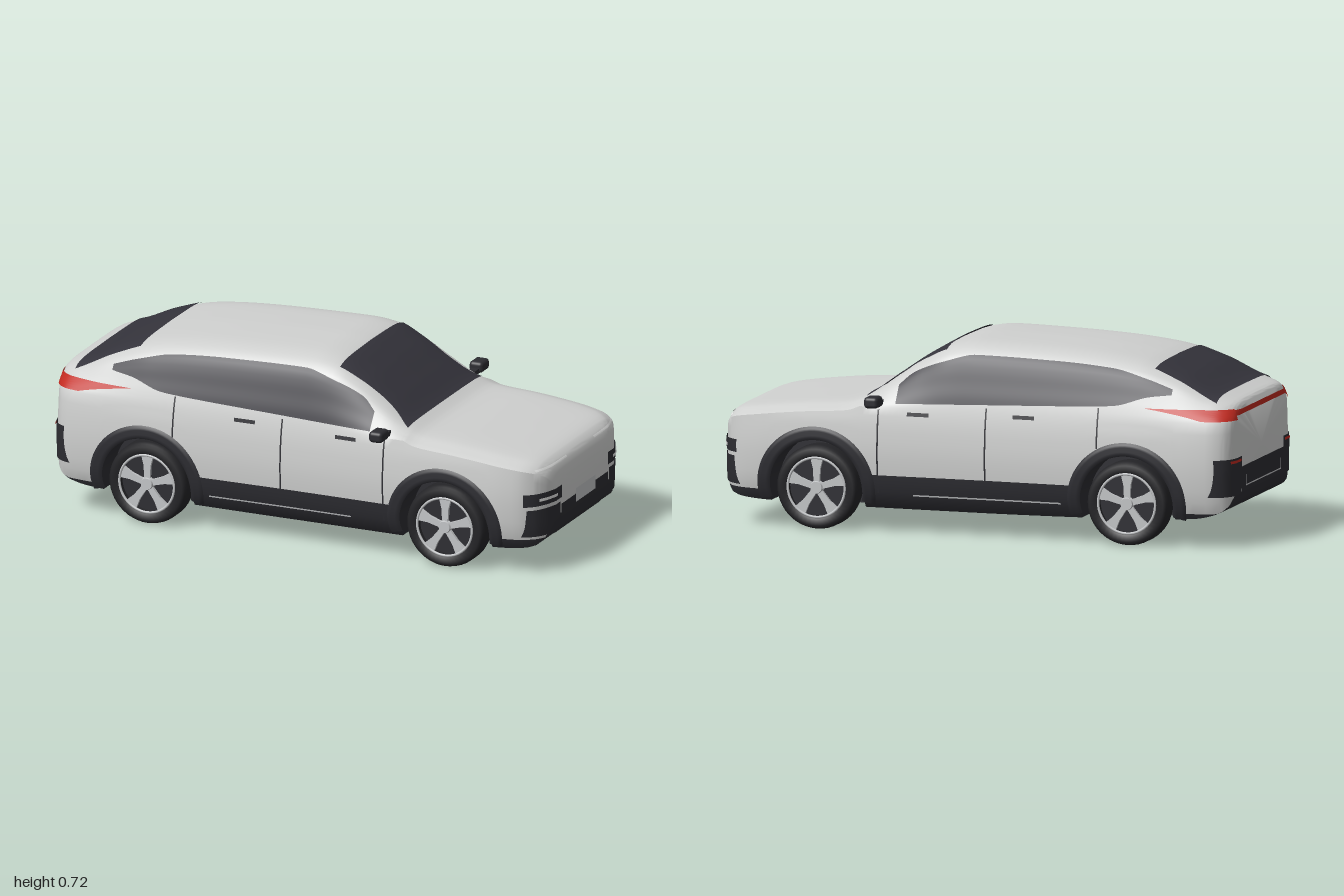
import * as THREE from 'three';
import { toCreasedNormals } from 'three/addons/utils/BufferGeometryUtils.js';
import { RoundedBoxGeometry } from 'three/addons/geometries/RoundedBoxGeometry.js';

const material = (name, color) => new THREE.MeshStandardMaterial({ name, color, side: THREE.DoubleSide });

// Smooth monotone curve through [position, value] pairs
function curve(p) {
  const d = p.slice(1).map((b, i) => (b[1] - p[i][1]) / (b[0] - p[i][0]));
  const m = p.map((_, i) => i === 0 ? d[0] : i === d.length ? d[i - 1]
    : d[i - 1] * d[i] <= 0 ? 0 : 2 * d[i - 1] * d[i] / (d[i - 1] + d[i]));
  return x => {
    if (x <= p[0][0]) return p[0][1];
    let i = 0;
    while (i < d.length && x > p[i + 1][0]) i++;
    if (i >= d.length) return p[d.length][1];
    const h = p[i + 1][0] - p[i][0], t = (x - p[i][0]) / h, t2 = t * t, t3 = t2 * t;
    return (2 * t3 - 3 * t2 + 1) * p[i][1] + (t3 - 2 * t2 + t) * h * m[i]
      + (3 * t2 - 2 * t3) * p[i + 1][1] + (t3 - t2) * h * m[i + 1];
  };
}

// Body lines: roof, floor, plan width, side section and cabin section
const END = 0.995, AXLES = [-0.6, 0.608], AXLE_Y = 0.157, ARCH = 0.182;
const top = curve([[-END, 0.525], [-0.985, 0.538], [-0.95, 0.551], [-0.9, 0.567], [-0.77, 0.628], [-0.61, 0.678],
  [-0.42, 0.7], [-0.2, 0.711], [0.03, 0.716], [0.115, 0.705], [0.22, 0.653], [0.33, 0.577], [0.435, 0.503],
  [0.49, 0.483], [0.65, 0.471], [0.86, 0.447], [0.94, 0.432], [0.975, 0.408], [0.99, 0.375], [END, 0.345]]);
const floor = curve([[-END, 0.2], [-0.98, 0.16], [-0.94, 0.13], [-0.85, 0.11], [-0.5, 0.095], [0, 0.088],
  [0.5, 0.09], [0.85, 0.1], [0.94, 0.11], [0.975, 0.14], [0.99, 0.19], [END, 0.21]]);
const plan = curve([[-END, 0.74], [-0.985, 0.82], [-0.96, 0.9], [-0.92, 0.95], [-0.8, 0.985], [-0.6, 1], [0, 0.985],
  [0.6, 1], [0.8, 0.985], [0.9, 0.94], [0.95, 0.86], [0.98, 0.74], [END, 0.62]]);
const flank = curve([[0.085, 0.355], [0.1, 0.372], [0.14, 0.392], [0.2, 0.405], [0.3, 0.411], [0.4, 0.405], [0.47, 0.393]]);
const cabin = curve([[0, 1], [0.2, 0.965], [0.4, 0.92], [0.62, 0.87], [0.78, 0.82], [0.9, 0.73], [0.96, 0.6], [0.985, 0.42], [1, 0]]);
const belt = x => Math.min(0.47, top(x) - 0.03);

function halfWidth(x, y) {
  const b = belt(x);
  return plan(x) * (y <= b ? flank(y) : flank(b) * cabin((y - b) / (top(x) - b)));
}
const inside = (x, y, z) => y >= floor(x) && y <= top(x) && halfWidth(x, y) >= Math.abs(z);

// Last value between lo (inside) and hi (outside) that is still inside
function bisect(lo, hi, test) {
  for (let i = 0; i < 24; i++) {
    const mid = (lo + hi) / 2;
    if (test(mid)) lo = mid; else hi = mid;
  }
  return lo;
}
const roofY = (x, z) => bisect(0.3, top(x), y => inside(x, y, z));
const endX = (s, y, z) => s * bisect(0.6, END, x => inside(s * x, y, z));
const sideZ = (x, y) => halfWidth(x, Math.min(Math.max(y, floor(x)), top(x)));

// Grid surface from f(u, v) -> [x, y, z]
function patch(nu, nv, f) {
  const pos = [], idx = [], w = nv + 1;
  for (let i = 0; i <= nu; i++) for (let j = 0; j <= nv; j++) pos.push(...f(i / nu, j / nv));
  for (let i = 0; i < nu; i++) for (let j = 0; j < nv; j++) {
    const a = i * w + j, b = a + w;
    idx.push(a, b, b + 1, a, b + 1, a + 1);
  }
  const g = new THREE.BufferGeometry();
  g.setAttribute('position', new THREE.Float32BufferAttribute(pos, 3));
  g.setIndex(idx);
  g.computeVertexNormals();
  return g;
}

// Lofted shell with open wheel wells
function bodyShell() {
  const xs = [];
  for (let i = 0; i <= 80; i++) xs.push(-0.95 + 1.9 * i / 80);
  for (let i = 0; i < 12; i++) xs.push(-END + 0.045 * (i / 12) ** 1.5, END - 0.045 * (i / 12) ** 1.5);
  for (const c of AXLES) {
    for (let i = 0; i <= 24; i++) xs.push(c - ARCH * Math.cos(Math.PI * i / 24));
    xs.push(c - ARCH - 0.001, c + ARCH + 0.001);
  }
  xs.sort((a, b) => a - b);
  const us = [0.1, 0.2, 0.3, 0.4, 0.5, 0.62, 0.7, 0.78, 0.84, 0.9, 0.93, 0.96, 0.975, 0.985, 0.992, 0.997, 1];
  const pos = [], paint = [], trim = [];
  let n = 0;
  for (const x of xs) {
    const B = floor(x), b = belt(x);
    const c = AXLES.find(a => Math.abs(x - a) <= ARCH + 1e-6);
    const low = c === undefined ? B : AXLE_Y + Math.sqrt(Math.max(0, ARCH ** 2 - (x - c) ** 2));
    const sill = Math.max(low, x < AXLES[0] ? 0.13 : x < AXLES[1] ? 0.217 : 0.14);
    const zi = Math.min(0.27, 0.8 * halfWidth(x, B));
    const half = [[B, 0], [B, zi], [low, zi]];
    for (let i = 0; i <= 4; i++) half.push(low + (sill - low) * i / 4);
    for (let i = 1; i <= 8; i++) half.push(sill + (b - sill) * i / 8);
    for (const u of us) half.push(b + (top(x) - b) * u);
    const pts = half.map(p => Array.isArray(p) ? p : [p, halfWidth(x, p)]);
    const ring = [...pts, ...pts.slice(1, -1).reverse().map(([y, z]) => [y, -z])];
    n = ring.length;
    for (const [y, z] of ring) pos.push(x, y, z);
  }
  const last = xs.length - 1;
  for (let k = 0; k < n; k++) {
    const k1 = (k + 1) % n, list = Math.min(k, n - 1 - k) < 7 ? trim : paint;
    for (let i = 0; i < last; i++) {
      const a = i * n + k, b = a + n, d = i * n + k1, c = d + n;
      list.push(a, b, c, a, c, d);
    }
    paint.push(xs.length * n, k, k1, xs.length * n + 1, last * n + k1, last * n + k);
  }
  pos.push(-END, 0.35, 0, END, 0.28, 0);
  const g = new THREE.BufferGeometry();
  g.setAttribute('position', new THREE.Float32BufferAttribute(pos, 3));
  g.setIndex([...paint, ...trim]);
  g.addGroup(0, paint.length, 0);
  g.addGroup(paint.length, trim.length, 1);
  return toCreasedNormals(g, 0.7);
}

export function createModel() {
  const car = new THREE.Group();
  car.name = 'car';
  const paint = material('silver paint', 0xd0d1d0), glass = material('dark glass', 0x35343c);
  const trim = material('black trim', 0x2d2d32), rubber = material('tyre rubber', 0x242427);
  const alloy = material('alloy', 0xc4c6c8), red = material('red lamp', 0xc22a20), lamp = material('white lamp', 0xe2e3e2);
  const add = (parent, name, geo, mat) => {
    const m = new THREE.Mesh(geo, mat);
    m.name = name;
    parent.add(m);
    return m;
  };
  // Plates that follow the sides, the ends and the top of the body
  const sidePlate = (name, mat, x0, x1, lo, hi, nx = 2, ny = 8, off = 0.004) => {
    for (const s of [1, -1]) add(car, name, patch(nx, ny, (u, v) => {
      const x = x0 + (x1 - x0) * u, a = lo(x), y = a + (hi(x) - a) * v;
      return [x, y, s * (sideZ(x, y) + off)];
    }), mat);
  };
  const endPlate = (name, mat, s, z0, z1, y0, y1, off = 0.004, sides = [1, -1]) => {
    for (const m of sides) add(car, name, patch(24, 6, (u, v) => {
      const z = z0 + (z1 - z0) * u, y = y0 + (y1 - y0) * v;
      return [endX(s, y, z) + s * off, y, m * z * (1 + off * 2.5)];
    }), mat);
  };
  const topPlate = (name, mat, x0, x1, half) => add(car, name, patch(24, 32, (u, v) => {
    const x = x0 + (x1 - x0) * u, z = half(x) * (2 * v - 1);
    return [x, roofY(x, z) + 0.005, z];
  }), mat);
  const flat = y => () => y;

  add(car, 'body', bodyShell(), [paint, trim]);

  // Windows
  topPlate('windscreen', glass, 0.135, 0.432, curve([[0.135, 0.282], [0.3, 0.276], [0.36, 0.287], [0.432, 0.33]]));
  topPlate('rearWindow', glass, -0.925, -0.675, curve([[-0.925, 0.315], [-0.675, 0.28]]));
  sidePlate('sideWindow', glass, -0.76, 0.302,
    curve([[-0.76, 0.565], [-0.675, 0.555], [-0.55, 0.52], [-0.47, 0.514], [-0.125, 0.5], [0.302, 0.485]]),
    curve([[-0.76, 0.585], [-0.66, 0.618], [-0.525, 0.65], [-0.31, 0.665], [0.01, 0.672], [0.125, 0.645], [0.25, 0.596], [0.302, 0.55]]),
    60, 12);

  // Door seams, handles and sill strip
  for (const [x, lo, hi] of [[-0.488, 0.36, 0.51], [-0.052, 0.215, 0.485], [0.365, 0.15, 0.48]])
    sidePlate('doorSeam', trim, x - 0.003, x + 0.003, flat(lo), flat(hi), 1, 10, 0.003);
  for (const [x, y] of [[-0.2, 0.46], [0.21, 0.45]])
    sidePlate('doorHandle', trim, x - 0.042, x + 0.042, flat(y - 0.007), flat(y + 0.007), 8, 2, 0.009);
  sidePlate('sillStrip', alloy, -0.345, 0.23, flat(0.143), flat(0.149), 30, 1);

  // Wheel arch cladding
  for (const c of AXLES) for (const s of [1, -1]) add(car, 'archCladding', patch(40, 6, (u, v) => {
    const a = -0.24 + (Math.PI + 0.48) * u, r = ARCH - 0.002 + 0.05 * v;
    const x = c + r * Math.cos(a), y = AXLE_Y + r * Math.sin(a);
    return [x, y, s * (sideZ(x, y) + (v === 0 || v === 1 ? 0 : 0.006))];
  }), trim);

  // Nose
  endPlate('headlampPanel', trim, 1, 0.203, 0.378, 0.272, 0.32);
  endPlate('headlamp', lamp, 1, 0.24, 0.336, 0.29, 0.301, 0.007);
  endPlate('sideIntake', trim, 1, 0.214, 0.37, 0.152, 0.258);
  endPlate('grille', trim, 1, 0, 0.205, 0.125, 0.246);
  endPlate('frontNumberPlate', alloy, 1, 0, 0.085, 0.217, 0.27, 0.008);
  endPlate('daylightStrip', lamp, 1, 0.12, 0.335, 0.401, 0.408, 0.003);

  // Tail
  endPlate('tailLightBar', red, -1, 0, 0.285, 0.492, 0.512);
  endPlate('tailLamp', red, -1, 0.285, 0.376, 0.476, 0.516);
  endPlate('rearCorner', trim, -1, 0.24, 0.386, 0.195, 0.335);
  endPlate('rearBumper', trim, -1, 0, 0.24, 0.2, 0.295);
  endPlate('rearReflector', red, -1, 0.25, 0.34, 0.318, 0.328, 0.007);
  endPlate('rearTrimLine', alloy, -1, 0, 0.2, 0.218, 0.223, 0.007);
  endPlate('rearTrimLine', alloy, -1, 0.196, 0.201, 0.22, 0.26, 0.007);

  // Door mirrors
  for (const s of [1, -1]) {
    add(car, 'mirror', new RoundedBoxGeometry(0.055, 0.042, 0.072, 4, 0.014), trim).position.set(0.367, 0.498, s * 0.449);
    add(car, 'mirrorArm', new THREE.BoxGeometry(0.03, 0.018, 0.06), trim).position.set(0.367, 0.487, s * 0.4);
  }

  // Wheels
  const tyreGeo = new THREE.LatheGeometry([[0.106, -0.035], [0.113, -0.05], [0.143, -0.05], [0.153, -0.042], [0.157, -0.026],
    [0.157, 0.026], [0.153, 0.042], [0.143, 0.05], [0.117, 0.05], [0.11, 0.035], [0.108, 0]].map(p => new THREE.Vector2(...p)), 48).rotateX(Math.PI / 2);
  const discGeo = new THREE.CylinderGeometry(0.111, 0.111, 0.045, 40).rotateX(Math.PI / 2);
  const hubGeo = new THREE.CylinderGeometry(0.022, 0.027, 0.018, 24).rotateX(Math.PI / 2);
  const spokeShape = new THREE.Shape([[-0.011, 0.015], [0.011, 0.015], [0.014, 0.07], [0.024, 0.11], [-0.024, 0.11], [-0.014, 0.07]]
    .map(p => new THREE.Vector2(...p)));
  const spokeGeo = new THREE.ExtrudeGeometry(spokeShape, { depth: 0.012, bevelEnabled: false });
  for (const x of AXLES) for (const s of [1, -1]) {
    const wheel = new THREE.Group();
    wheel.name = 'wheel';
    wheel.position.set(x, AXLE_Y, s * 0.345);
    if (s < 0) wheel.rotation.y = Math.PI;
    add(wheel, 'tyre', tyreGeo, rubber);
    add(wheel, 'rimBack', discGeo, trim);
    add(wheel, 'rimEdge', new THREE.TorusGeometry(0.111, 0.005, 8, 48), alloy).position.z = 0.046;
    add(wheel, 'hub', hubGeo, alloy).position.z = 0.042;
    for (let i = 0; i < 5; i++) {
      const spoke = add(wheel, 'spoke', spokeGeo, alloy);
      spoke.position.z = 0.032;
      spoke.rotation.z = i * Math.PI * 2 / 5;
    }
    car.add(wheel);
  }
  return car;
}
